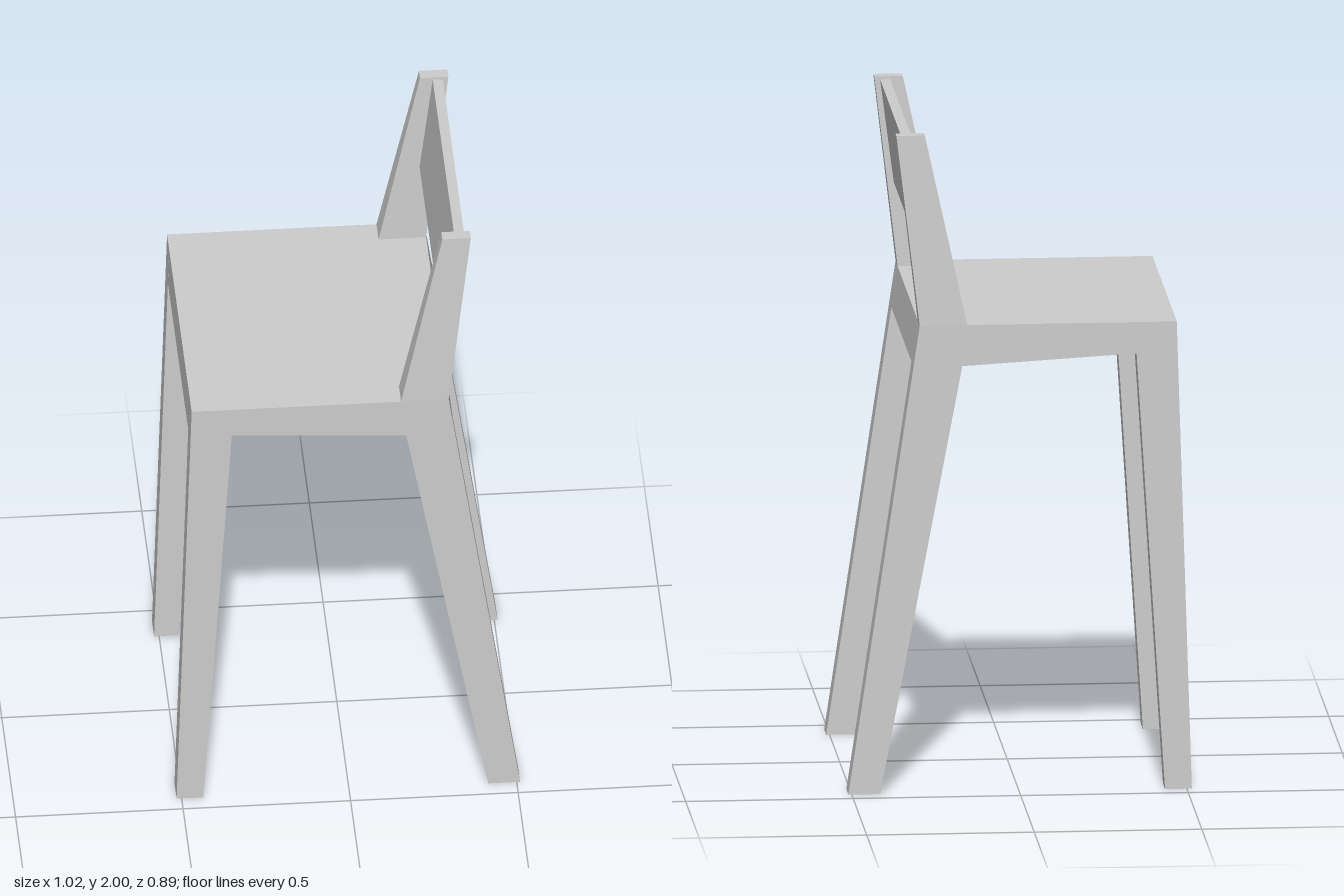
import * as THREE from 'three';

const material = new THREE.MeshStandardMaterial({ color: 0xcccccc, side: THREE.DoubleSide, flatShading: true });
const INNER = 0.37, OUTER = 0.447;

// Extrude an x-y outline between two z positions
function prism(points, z0, z1) {
  const shape = new THREE.Shape(points.map(([x, y]) => new THREE.Vector2(x, y)));
  const geometry = new THREE.ExtrudeGeometry(shape, { depth: z1 - z0, bevelEnabled: false });
  return geometry.translate(0, 0, z0);
}

// Move each vertex's z by a rule
function shapeZ(geometry, rule) {
  const p = geometry.attributes.position;
  for (let i = 0; i < p.count; i++) p.setZ(i, rule(p.getY(i), p.getZ(i)));
  geometry.computeVertexNormals();
  return geometry;
}

// Remove the triangles lying on the floor, leaving the leg ends open
function openFeet(geometry) {
  const p = geometry.attributes.position;
  const kept = [];
  for (let i = 0; i < p.count; i += 3) {
    if (Math.max(p.getY(i), p.getY(i + 1), p.getY(i + 2)) < 0.001) continue;
    for (let k = i; k < i + 3; k++) kept.push(p.getX(k), p.getY(k), p.getZ(k));
  }
  const open = new THREE.BufferGeometry();
  open.setAttribute('position', new THREE.Float32BufferAttribute(kept, 3));
  open.computeVertexNormals();
  return open;
}

export function createModel() {
  const chair = new THREE.Group();
  chair.name = 'chair';
  const add = (name, geometry) => {
    const mesh = new THREE.Mesh(geometry, material);
    mesh.name = name;
    chair.add(mesh);
  };

  // Front leg, seat rail and rear leg of one side in a single outline
  const frame = [
    [-0.515, 0], [-0.435, 0], [-0.35, 1.33], [0.17, 1.3],
    [0.415, 0], [0.51, 0], [0.297, 1.425], [-0.47, 1.425],
  ];
  const post = [[0.155, 1.425], [0.297, 1.425], [0.365, 2], [0.28, 2]];

  for (const [label, side] of [['Near', 1], ['Far', -1]]) {
    const z = side > 0 ? [INNER, OUTER] : [-OUTER, -INNER];
    add('sideFrame' + label, openFeet(prism(frame, ...z)));
    // Back post, narrowing towards its top
    add('backPost' + label, shapeZ(prism(post, ...z), (y, v) =>
      y > 1.9 ? side * (Math.abs(v) > 0.41 ? 0.425 : 0.388) : v));
  }

  // Seat board between the side frames
  add('seat', prism([[-0.46, 1.36], [0.29, 1.36], [0.29, 1.425], [-0.46, 1.425]], -INNER, INNER));

  // Cross rails under the seat, flush with the legs
  add('frontRail', prism([[-0.4735, 1.3], [-0.435, 1.3], [-0.435, 1.425], [-0.47, 1.425]], -INNER, INNER));
  add('backRail', prism([[0.275, 1.3], [0.3157, 1.3], [0.297, 1.425], [0.255, 1.425]], -INNER, INNER));

  // Leaning backrest panel, following the inner faces of the posts
  add('backrest', shapeZ(
    prism([[0.278, 1.68], [0.308, 1.68], [0.348, 1.992], [0.318, 1.992]], -INNER, INNER),
    (y, v) => Math.sign(v) * (y > 1.9 ? 0.39 : 0.38)));

  return chair;
}
